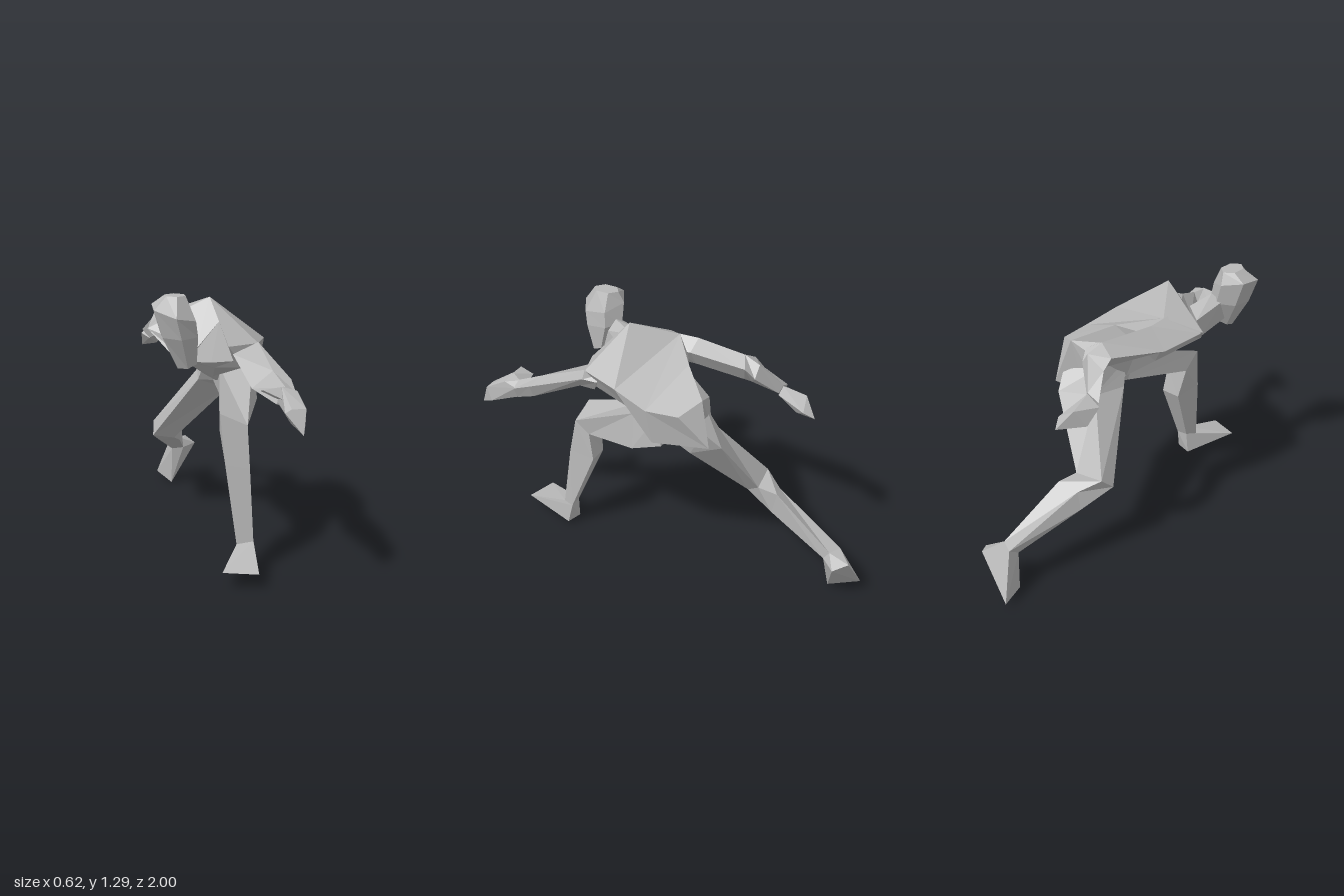
import * as THREE from 'three';
import { ConvexGeometry } from 'three/addons/geometries/ConvexGeometry.js';

const skin = new THREE.MeshStandardMaterial({ color: 0xb8b8b8, flatShading: true });
skin.name = 'plain grey';

// Closed skin over a list of cross-sections, turned outward by its signed volume
function loft(rings) {
  const pts = rings.map(r => r.map(p => new THREE.Vector3(...p)));
  const n = pts[0].length, tris = [];
  for (let i = 0; i < pts.length - 1; i++) {
    for (let j = 0; j < n; j++) {
      const k = (j + 1) % n;
      const a = pts[i][j], b = pts[i][k], c = pts[i + 1][k], d = pts[i + 1][j];
      tris.push([a, b, c], [a, c, d]);
    }
  }
  const first = pts[0], last = pts[pts.length - 1];
  for (let j = 1; j < n - 1; j++) {
    tris.push([first[0], first[j + 1], first[j]], [last[0], last[j], last[j + 1]]);
  }
  let volume = 0;
  for (const [a, b, c] of tris) volume += a.dot(b.clone().cross(c));
  const ordered = tris.flatMap(([a, b, c]) => (volume > 0 ? [a, b, c] : [a, c, b]));
  const geo = new THREE.BufferGeometry().setFromPoints(ordered);
  geo.computeVertexNormals();
  return geo;
}

const hull = points => new ConvexGeometry(points.map(p => new THREE.Vector3(...p)));

// Six-sided head section, leaning sideways by roll and forward by pitch
const hex = (x, y, z, rx, rz, roll = 0, pitch = 0) => Array.from({ length: 6 }, (_, i) => {
  const s = Math.sin(i * Math.PI / 3), c = Math.cos(i * Math.PI / 3);
  return [x + s * rx, y + s * roll + c * pitch, z + c * rz];
});

export function createModel() {
  const model = new THREE.Group();
  model.name = 'runner';
  const add = (name, geo) => {
    const mesh = new THREE.Mesh(geo, skin);
    mesh.name = name;
    model.add(mesh);
  };

  // Torso, chest to seat: spine, left upper, left lower, belly, right lower, right upper
  add('torso', loft([
    [[0.02, 1.14, 0.365], [0.05, 1.035, 0.46], [0.08, 0.96, 0.42], [-0.02, 0.95, 0.39], [-0.13, 0.95, 0.35], [-0.09, 1.015, 0.38]],
    [[-0.01, 1.245, 0.27], [0.2, 1.04, 0.405], [0.13, 0.93, 0.42], [0.0, 0.92, 0.36], [-0.19, 0.97, 0.32], [-0.3, 1.09, 0.2]],
    [[-0.16, 1.165, 0.07], [0.27, 1.03, 0.19], [0.2, 0.89, 0.12], [0.03, 0.83, 0.12], [-0.1, 0.9, 0.08], [-0.2, 1.07, 0.05]],
    [[0.02, 1.12, -0.08], [0.305, 0.985, 0.0], [0.28, 0.8, -0.02], [0.1, 0.76, -0.02], [0.0, 0.82, -0.02], [-0.08, 1.02, -0.02]],
    [[0.17, 1.04, -0.235], [0.285, 0.99, -0.17], [0.22, 0.82, -0.3], [0.1, 0.74, -0.2], [0.0, 0.8, -0.2], [0.03, 0.98, -0.2]],
  ]));

  // Neck and head
  add('neck', hull([
    [-0.11, 1.12, 0.32], [-0.09, 1.03, 0.37], [-0.13, 0.96, 0.35], [-0.2, 0.99, 0.32], [-0.2, 1.09, 0.27],
    [-0.15, 1.16, 0.44], [-0.12, 1.1, 0.47], [-0.12, 1.0, 0.5], [-0.2, 1.02, 0.49], [-0.21, 1.13, 0.45],
  ]));
  add('head', loft([
    hex(-0.205, 1.287, 0.525, 0.05, 0.07),
    hex(-0.215, 1.212, 0.547, 0.108, 0.117, -0.03, -0.015),
    hex(-0.19, 1.11, 0.537, 0.092, 0.108, 0, -0.01),
    hex(-0.155, 0.975, 0.535, 0.05, 0.045, 0.01, -0.015),
  ]));

  // Left arm reaching forward: top, outer, under, inner
  add('leftArm', loft([
    [[0.16, 1.02, 0.33], [0.2, 0.99, 0.34], [0.16, 0.92, 0.38], [0.07, 0.98, 0.4]],
    [[0.2, 1.045, 0.405], [0.22, 1.0, 0.41], [0.17, 0.925, 0.46], [0.07, 1.0, 0.46]],
    [[0.22, 0.955, 0.65], [0.298, 0.92, 0.68], [0.27, 0.85, 0.68], [0.13, 0.87, 0.62]],
    [[0.25, 0.905, 0.785], [0.298, 0.88, 0.78], [0.27, 0.815, 0.783], [0.21, 0.83, 0.78]],
  ]));
  add('leftHand', hull([
    [0.25, 0.905, 0.775], [0.29, 0.88, 0.775], [0.27, 0.82, 0.775], [0.215, 0.84, 0.775],
    [0.22, 0.92, 0.837], [0.29, 0.9, 0.84], [0.305, 0.845, 0.95], [0.31, 0.775, 0.92],
    [0.285, 0.737, 0.997], [0.215, 0.825, 0.94], [0.25, 0.77, 0.89], [0.24, 0.845, 0.955],
  ]));
  add('leftThumb', hull([
    [0.135, 0.91, 0.85], [0.14, 0.89, 0.77], [0.23, 0.92, 0.835], [0.22, 0.85, 0.775], [0.23, 0.865, 0.87],
  ]));

  // Right arm swung back: outer, top, inner, under
  add('rightArm', loft([
    [[-0.295, 1.085, 0.19], [-0.16, 1.165, 0.1], [-0.11, 1.1, 0.06], [-0.19, 1.0, 0.16]],
    [[-0.27, 1.07, -0.04], [-0.17, 1.165, -0.03], [-0.12, 1.1, -0.01], [-0.18, 1.01, -0.01]],
    [[-0.2, 1.125, -0.33], [-0.12, 1.17, -0.31], [-0.05, 1.13, -0.345], [-0.12, 1.035, -0.31]],
    [[-0.2, 1.08, -0.38], [-0.11, 1.14, -0.395], [-0.07, 1.08, -0.39], [-0.14, 1.02, -0.34]],
    [[-0.265, 0.98, -0.48], [-0.2, 1.01, -0.485], [-0.18, 0.97, -0.47], [-0.23, 0.935, -0.465]],
  ]));
  add('rightHand', hull([
    [-0.27, 0.96, -0.48], [-0.23, 0.935, -0.46], [-0.2, 1.005, -0.485], [-0.18, 0.96, -0.47],
    [-0.26, 0.885, -0.55], [-0.225, 0.972, -0.6], [-0.175, 0.885, -0.67], [-0.145, 0.92, -0.62],
    [-0.18, 0.89, -0.57],
  ]));

  // Left leg stepping forward: front inner, front outer, back outer, back inner
  const leftAnkle = [[0.065, 0.13, 0.62], [0.145, 0.14, 0.62], [0.155, 0.13, 0.565], [0.09, 0.14, 0.565]];
  add('leftLeg', loft([
    [[0.06, 0.9, -0.05], [0.25, 0.93, -0.03], [0.26, 0.78, -0.06], [0.06, 0.77, -0.06]],
    [[0.06, 0.88, 0.13], [0.23, 0.9, 0.11], [0.255, 0.71, 0.11], [0.07, 0.73, 0.06]],
    [[0.0, 0.735, 0.527], [0.13, 0.675, 0.53], [0.135, 0.62, 0.445], [0.01, 0.64, 0.45]],
    [[0.02, 0.5, 0.565], [0.135, 0.48, 0.57], [0.145, 0.475, 0.42], [0.04, 0.475, 0.425]],
    leftAnkle,
  ]));
  add('leftFoot', hull([
    ...leftAnkle, [-0.035, 0.075, 0.83], [0.125, 0.073, 0.87], [0.165, 0.02, 0.59], [0.08, 0.02, 0.57],
  ]));

  // Right leg pushing off: front outer, back outer, back inner, front inner
  const rightAnkle = [[-0.065, 0.21, -0.84], [-0.07, 0.255, -0.9], [0.0, 0.26, -0.87], [0.0, 0.215, -0.84]];
  add('rightLeg', loft([
    [[0.0, 0.85, -0.03], [0.03, 0.92, -0.18], [0.2, 0.88, -0.26], [0.16, 0.77, -0.05]],
    [[-0.02, 0.78, -0.06], [0.0, 0.8, -0.24], [0.16, 0.8, -0.338], [0.15, 0.71, -0.16]],
    [[-0.225, 0.42, -0.35], [-0.215, 0.485, -0.42], [-0.06, 0.47, -0.44], [-0.11, 0.4, -0.36]],
    [[-0.17, 0.345, -0.52], [-0.15, 0.44, -0.52], [-0.05, 0.47, -0.55], [-0.06, 0.345, -0.52]],
    rightAnkle,
  ]));
  add('rightFoot', hull([
    ...rightAnkle, [0.03, 0.25, -0.985], [0.08, 0.22, -0.92], [-0.07, 0.0, -0.85], [-0.14, 0.03, -1.0],
  ]));

  return model;
}
